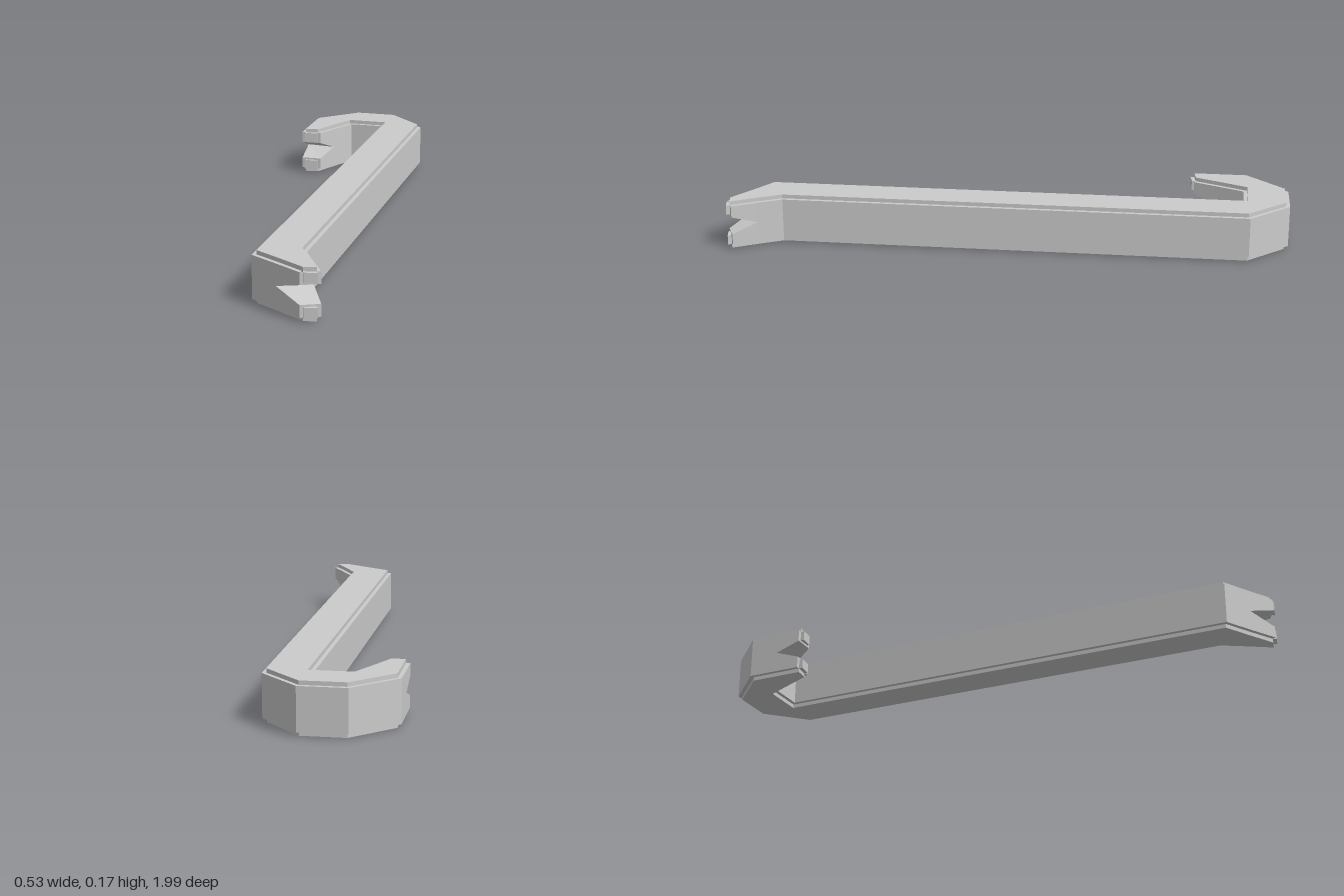
import * as THREE from 'three';

const MID = 0.0875;    // half of the bar's height
const STEP = 0.014;    // size of the stepped edge
const GAP = 0.032;     // half opening of the claw notch at the tips

// Outline stations from hook tip to claw tip: outer x,z  inner x,z  half notch
const stations = [
  [-0.27, -0.66, -0.195, -0.66, GAP],
  [-0.27, -0.75, -0.16, -0.737, 0],
  [-0.27, -0.857, -0.113, -0.838, 0],
  [-0.127, -1, -0.113, -0.838, 0],
  [0.035, -1, 0.013, -0.838, 0],
  [0.172, -0.86, 0.013, -0.838, 0],
  [0.172, 0.795, 0.013, 0.867, 0],
  [0.217, 0.877, 0.11, 0.926, 0],
  [0.264, 0.957, 0.203, 0.985, GAP],
];
const left = stations.map((s) => new THREE.Vector2(s[0], s[1]));
const right = stations.map((s) => new THREE.Vector2(s[2], s[3]));

// Shift one side of the outline into the bar with mitred corners
function inset(points, side) {
  const normal = (a, b) => {
    const d = b.clone().sub(a).normalize();
    return new THREE.Vector2(-d.y, d.x).multiplyScalar(side);
  };
  return points.map((p, i) => {
    const before = points.slice(0, i).reverse().find((q) => !q.equals(p));
    const after = points.slice(i + 1).find((q) => !q.equals(p));
    const n1 = before ? normal(before, p) : normal(p, after);
    const n2 = after ? normal(p, after) : n1;
    const m = n1.clone().add(n2);
    return m.multiplyScalar(STEP / (1 + n1.dot(n2))).add(p);
  });
}
const leftIn = inset(left, 1);
const rightIn = inset(right, -1);

// Upper half of the stepped cross-section, heights measured from the middle
function halfRing(i) {
  const at = (p, y) => new THREE.Vector3(p.x, y, p.y);
  const low = stations[i][4], shoulder = MID - STEP;
  return [
    at(left[i], low), at(left[i], shoulder), at(leftIn[i], shoulder), at(leftIn[i], MID),
    at(rightIn[i], MID), at(rightIn[i], shoulder), at(right[i], shoulder), at(right[i], low),
  ];
}

// Small raised end face of a prong
function nubRings(i, forward) {
  const other = forward ? i - 1 : i + 1;
  const dir = left[i].clone().sub(left[other]).normalize().multiplyScalar(STEP);
  const ring = (k) => [[leftIn, GAP + STEP / 2], [leftIn, MID - STEP], [rightIn, MID - STEP], [rightIn, GAP + STEP / 2]]
    .map(([side, y]) => new THREE.Vector3(side[i].x + dir.x * k, y, side[i].y + dir.y * k));
  return forward ? [ring(0), ring(1)] : [ring(1), ring(0)];
}

// Loft rings and mirror the result about the middle plane
function loft(name, rings, capStart, capEnd, material) {
  const pos = [];
  const tri = (a, b, c) => {
    if (a.equals(b) || b.equals(c) || a.equals(c)) return;
    for (const p of [a, b, c]) pos.push(p.x, MID + p.y, p.z);
    for (const p of [a, c, b]) pos.push(p.x, MID - p.y, p.z);
  };
  const quad = (a, b, c, d) => { tri(a, b, c); tri(a, c, d); };
  const n = rings[0].length;
  for (let i = 0; i + 1 < rings.length; i++) {
    for (let j = 0; j < n; j++) {
      const k = (j + 1) % n, A = rings[i], B = rings[i + 1];
      if (k === 0 && A[0].y === 0 && B[0].y === 0) continue; // halves join here
      quad(A[j], A[k], B[k], B[j]);
    }
  }
  const cap = (r, flip) => {
    const faces = n === 8 ? [[0, 1, 6, 7], [2, 3, 4, 5]] : [[0, 1, 2, 3]];
    for (const f of faces) quad(...(flip ? f.reverse() : f).map((j) => r[j]));
  };
  if (capStart) cap(rings[0], true);
  if (capEnd) cap(rings[rings.length - 1], false);
  const geometry = new THREE.BufferGeometry();
  geometry.setAttribute('position', new THREE.Float32BufferAttribute(pos, 3));
  geometry.computeVertexNormals();
  const mesh = new THREE.Mesh(geometry, material);
  mesh.name = name;
  return mesh;
}

export function createModel() {
  const group = new THREE.Group();
  group.name = 'pryBar';
  const material = new THREE.MeshStandardMaterial({ color: 0xcccccc, flatShading: true });
  const rings = stations.map((s, i) => halfRing(i));
  const last = rings.length - 1;
  group.add(
    loft('hook', rings.slice(0, 6), true, false, material),
    loft('shaft', rings.slice(5, 7), false, false, material),
    loft('claw', rings.slice(6), false, true, material),
    loft('hookTips', nubRings(0, false), true, false, material),
    loft('clawTips', nubRings(last, true), false, true, material),
  );
  return group;
}
